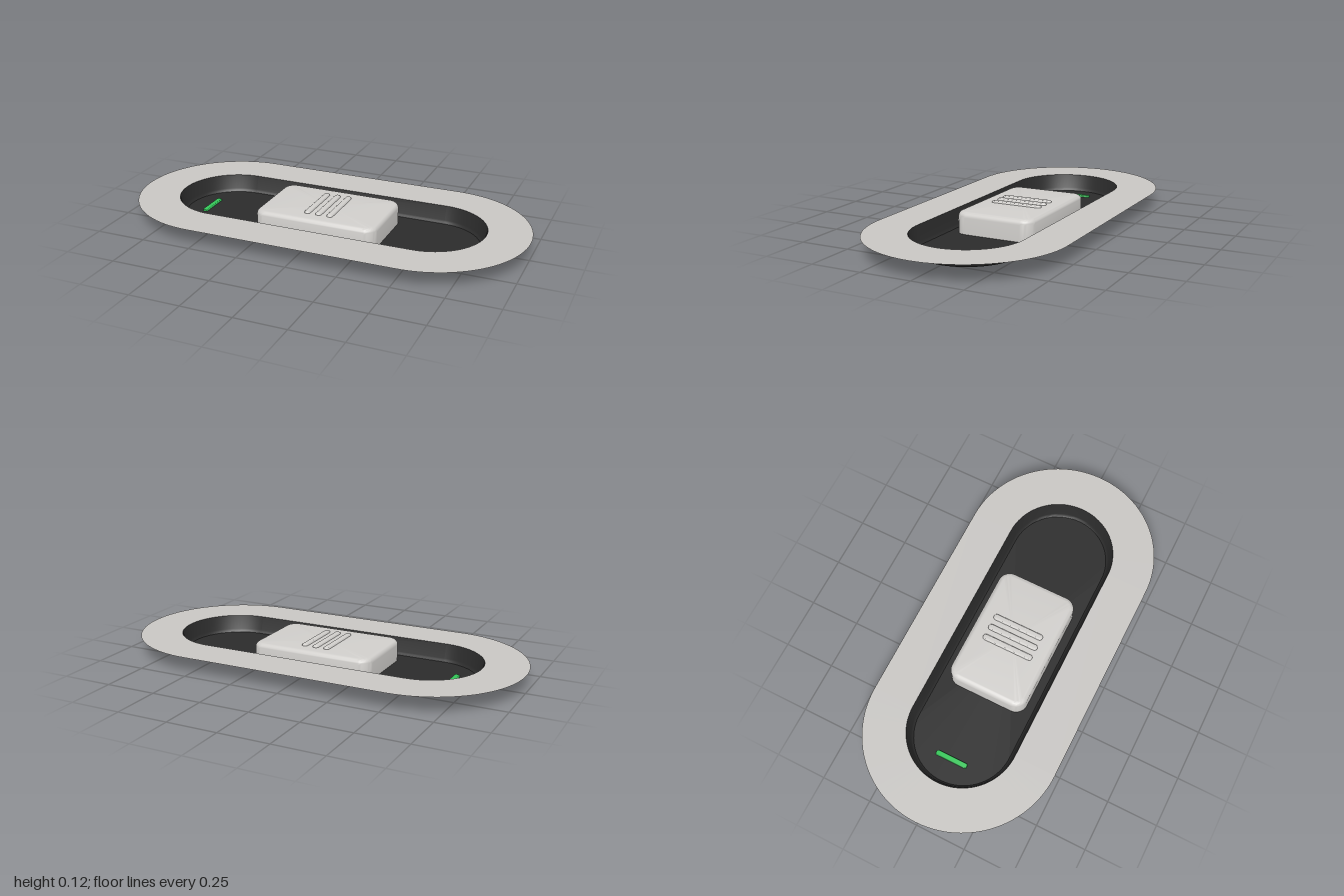
import * as THREE from 'three';
import { toCreasedNormals } from 'three/addons/utils/BufferGeometryUtils.js';

// Lofts a rounded rectangle (half sizes hw, hd, corner radius r) through
// rings of [inset, y]; the last ring is closed with a cap if asked.
function loft(hw, hd, r, rings, cap, seg = 10) {
  const pos = [];
  const index = [];
  const n = 4 * (seg + 1);
  for (const [inset, y] of rings) {
    for (let q = 0; q < 4; q++) {
      const sx = q === 0 || q === 3 ? 1 : -1;
      const sz = q < 2 ? 1 : -1;
      for (let i = 0; i <= seg; i++) {
        const a = (q + i / seg) * Math.PI / 2;
        pos.push(sx * (hw - r) + (r - inset) * Math.cos(a), y, sz * (hd - r) + (r - inset) * Math.sin(a));
      }
    }
  }
  for (let k = 0; k < rings.length - 1; k++) {
    for (let j = 0; j < n; j++) {
      const a = k * n + j;
      const b = k * n + (j + 1) % n;
      index.push(a, a + n, b, b, a + n, b + n);
    }
  }
  if (cap) {
    const base = (rings.length - 1) * n;
    const centre = pos.length / 3;
    pos.push(0, rings[rings.length - 1][1], 0);
    for (let j = 0; j < n; j++) index.push(centre, base + (j + 1) % n, base + j);
  }
  const g = new THREE.BufferGeometry();
  g.setAttribute('position', new THREE.Float32BufferAttribute(pos, 3));
  g.setIndex(index);
  return toCreasedNormals(g, 0.6);
}

// Straight side from y0, then a quarter-round edge of the given radius up to y1
function roundedTop(y0, y1, radius, steps = 6) {
  const rings = [[0, y0]];
  for (let i = 0; i <= steps; i++) {
    const a = i / steps * Math.PI / 2;
    rings.push([radius * (1 - Math.cos(a)), y1 - radius * (1 - Math.sin(a))]);
  }
  return rings;
}

export function createModel() {
  const material = (name, color, side = THREE.FrontSide) => {
    const m = new THREE.MeshStandardMaterial({ color, side });
    m.name = name;
    return m;
  };
  const plateGrey = material('plate grey', 0xc8c6c3, THREE.DoubleSide);
  const black = material('recess black', 0x2b2b2b, THREE.DoubleSide);
  const buttonGrey = material('slider grey', 0xd0cecb);
  const green = material('indicator green', 0x34c759);

  const model = new THREE.Group();
  model.name = 'slideSwitch';
  const add = (name, geometry, mat, x = 0) => {
    const mesh = new THREE.Mesh(geometry, mat);
    mesh.name = name;
    mesh.position.x = x;
    model.add(mesh);
  };

  // Flat surround with a stadium-shaped opening
  add('surroundPlate', loft(1, 0.48, 0.48, [[0, 0.085], [0.208, 0.085]], false, 24), plateGrey);

  // Tapered recess with a small chamfer around its floor
  add('recess', loft(0.792, 0.272, 0.272,
    [[0, 0.085], [0.018, 0.016], [0.022, 0.006], [0.029, 0]], true, 24), black);

  // Sliding button rising from the floor
  add('sliderButton', loft(0.31, 0.203, 0.06, roundedTop(0.002, 0.108, 0.025), true), buttonGrey);

  // Grip ribs across the button
  for (const x of [-0.058, 0, 0.058]) {
    add('gripRib', loft(0.016, 0.133, 0.016, roundedTop(0.104, 0.118, 0.012), true, 6), buttonGrey, x);
  }

  // Indicator strip on the recess floor
  add('indicator', loft(0.013, 0.082, 0.01, roundedTop(0.001, 0.01, 0.004, 3), true, 5), green, -0.65);

  return model;
}
